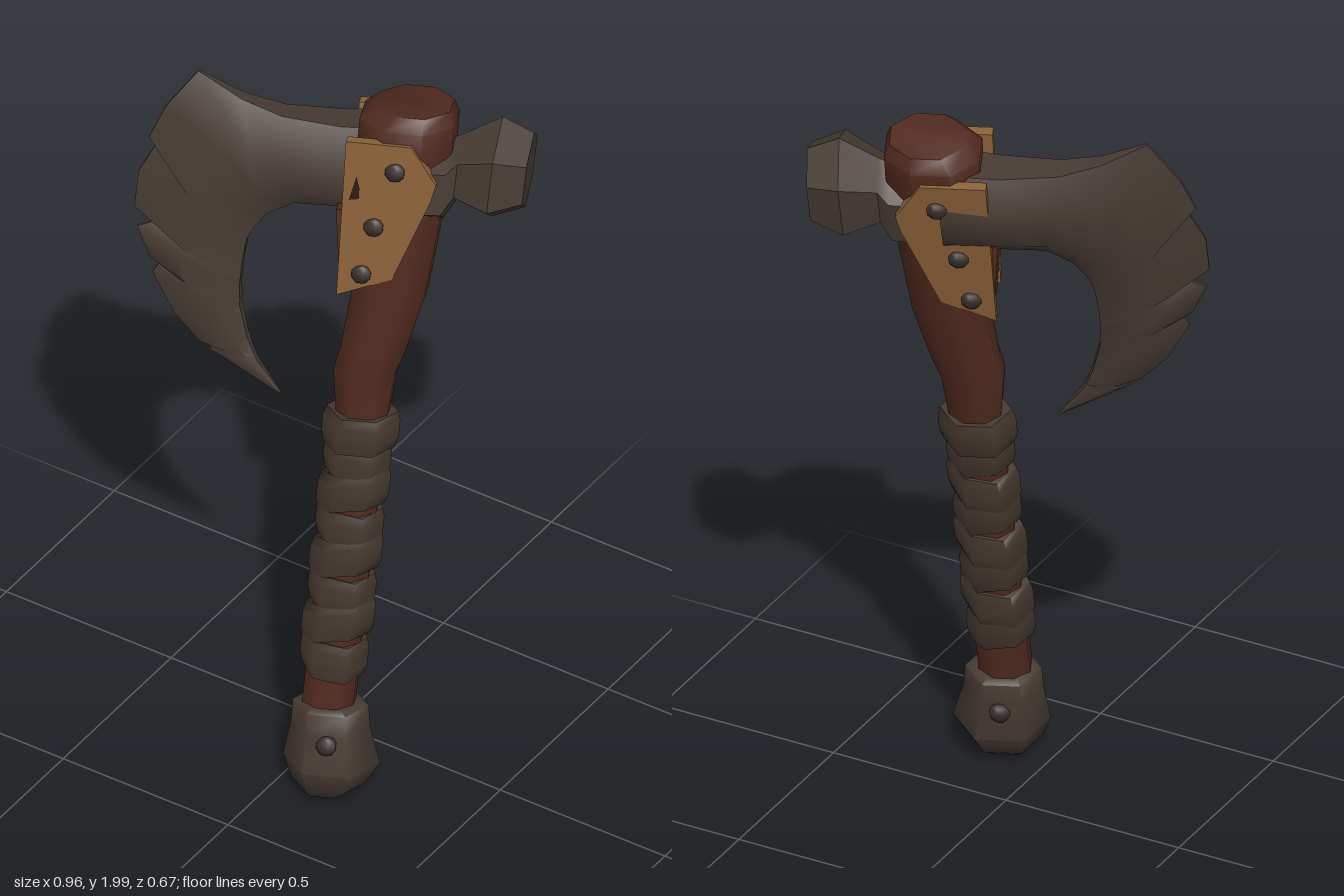
import * as THREE from 'three';
import { toCreasedNormals } from 'three/addons/utils/BufferGeometryUtils.js';

const mat = (name, color) => {
  const m = new THREE.MeshStandardMaterial({ color });
  m.name = name;
  return m;
};

// The axe lies in a tilted plane: x and y run along it, z is its thickness.
const TILT = new THREE.Matrix4().makeBasis(
  new THREE.Vector3(1, 0, -0.45),
  new THREE.Vector3(0, 1, -0.19),
  new THREE.Vector3(0.404, 0.171, 0.898)
).setPosition(0, 0, 0.309);

// Closed skin over a list of equal-sized rings of [x, y, z] points
function loft(rings) {
  const n = rings[0].length, last = (rings.length - 1) * n, index = [];
  for (let i = 0; i < rings.length - 1; i++) {
    for (let j = 0; j < n; j++) {
      const a = i * n + j, b = i * n + (j + 1) % n;
      index.push(a, a + n, b, b, a + n, b + n);
    }
  }
  for (let j = 1; j < n - 1; j++) {
    index.push(0, j, j + 1, last, last + j + 1, last + j);
  }
  const g = new THREE.BufferGeometry();
  g.setAttribute('position', new THREE.Float32BufferAttribute(rings.flat(2), 3));
  g.setIndex(index);
  return g;
}

const circle = (sides, phase, f) =>
  Array.from({ length: sides }, (_, j) => {
    const a = phase + (j / sides) * Math.PI * 2;
    return f(Math.cos(a), Math.sin(a));
  });

// Ring across the handle; lean raises one side for slanted wraps
const handleRing = (cx, y, r, sides, phase = 0, lean = 0) =>
  circle(sides, phase, (c, s) => [cx + c * r, y + (c + s) * lean, s * r * 1.03]);

// Flat plate from an outline, between two depths
const slab = (points, z0, z1) =>
  new THREE.ExtrudeGeometry(
    new THREE.Shape(points.map(([x, y]) => new THREE.Vector2(x, y))),
    { depth: z1 - z0, bevelEnabled: false }
  ).translate(0, 0, z0);

export function createModel() {
  const iron = mat('dark iron', 0x463a33);
  const wood = mat('red brown wood', 0x502a1f);
  const leather = mat('dark leather', 0x44372f);
  const bronze = mat('tan bronze', 0x8c6238);
  const rivetIron = mat('rivet iron', 0x38302c);
  const slot = mat('dark slit', 0x2a1c14);

  const axe = new THREE.Group();
  axe.name = 'battleAxe';
  const add = (name, geometry, material, crease = 0.75) => {
    geometry.applyMatrix4(TILT);
    const mesh = new THREE.Mesh(toCreasedNormals(geometry, crease), material);
    mesh.name = name;
    axe.add(mesh);
  };

  // Wooden handle: centre x, height, radius
  add('handle', loft([
    [0.115, 0.2, 0.065], [0.115, 1.1, 0.066], [0.11, 1.22, 0.078],
    [0.125, 1.29, 0.082], [0.145, 1.45, 0.093], [0.152, 1.65, 0.1],
    [0.145, 1.88, 0.12], [0.143, 1.945, 0.12], [0.152, 1.98, 0.095],
  ].map(([x, y, r]) => handleRing(x, y, r, 8, Math.PI / 8))), wood, 0.9);

  // Pommel
  add('pommel', loft([
    [0.13, 0.012, 0.055], [0.135, 0.04, 0.087], [0.137, 0.1, 0.114],
    [0.125, 0.2, 0.093], [0.12, 0.26, 0.089], [0.118, 0.27, 0.07],
  ].map(([x, y, r]) => handleRing(x, y, r, 6))), iron, 1.1);

  // Slanted grip wraps and the collar above them
  const band = (name, y0, y1, r, lean) => add(name, loft([
    [y0, r * 0.92], [y0 + 0.025, r], [y1 - 0.025, r], [y1, r * 0.92],
  ].map(([y, q]) => handleRing(0.114, y, q, 6, 0, lean))), leather, 1.1);
  for (let i = 0; i < 7; i++) {
    const y = 0.36 + i * 0.093;
    band('gripWrap', y, y + 0.103, i % 2 ? 0.084 : 0.08, i % 2 ? 0.014 : -0.012);
  }
  band('gripCollar', 1.0, 1.1, 0.091, 0);

  // Six-sided socket and hammer at the back: distance along x, height, radius
  add('hammer', loft([
    [0.1, 1.77, 0.125], [0.25, 1.775, 0.115], [0.275, 1.81, 0.095],
    [0.36, 1.82, 0.143], [0.437, 1.82, 0.106],
  ].map(([x, y, r]) =>
    circle(6, Math.PI / 6, (c, s) => [x, y + s * r, c * r]))), iron);

  // Blade: outer x, y, inner x, y, half thickness at the edge and in the body
  const blade = [
    [0.13, 1.92, 0.13, 1.68, 0.06, 0.105],
    [-0.01, 1.905, 0.0, 1.68, 0.05, 0.1],
    [-0.15, 1.91, -0.1, 1.67, 0.035, 0.082],
    [-0.25, 1.94, -0.16, 1.63, 0.02, 0.074],
    [-0.36, 2.0, -0.19, 1.58, 0.004, 0.07],
    [-0.427, 1.89, -0.2, 1.55, 0.004, 0.066],
    [-0.457, 1.80, -0.203, 1.52, 0.004, 0.062],
    [-0.437, 1.785, -0.203, 1.51, 0.004, 0.06],
    [-0.472, 1.70, -0.205, 1.48, 0.004, 0.057],
    [-0.472, 1.60, -0.205, 1.44, 0.004, 0.053],
    [-0.417, 1.565, -0.205, 1.42, 0.004, 0.052],
    [-0.46, 1.545, -0.205, 1.41, 0.004, 0.051],
    [-0.422, 1.46, -0.2, 1.37, 0.004, 0.047],
    [-0.4, 1.445, -0.2, 1.36, 0.004, 0.046],
    [-0.412, 1.42, -0.195, 1.34, 0.004, 0.044],
    [-0.352, 1.31, -0.175, 1.27, 0.004, 0.036],
    [-0.282, 1.235, -0.155, 1.22, 0.004, 0.027],
    [-0.262, 1.24, -0.152, 1.215, 0.004, 0.026],
    [-0.257, 1.215, -0.145, 1.2, 0.004, 0.025],
    [-0.087, 1.11, -0.082, 1.114, 0.002, 0.003],
  ];
  add('blade', loft(blade.map(([ox, oy, ix, iy, e, t]) => {
    const at = (k, z) => [ox + (ix - ox) * k, oy + (iy - oy) * k, z];
    const half = [[0, e], [0.4, t], [0.8, t * 0.95], [1, Math.max(e, t * 0.45)]];
    return [
      ...half.map(([k, z]) => at(k, z)),
      ...half.reverse().map(([k, z]) => at(k, -z)),
    ];
  })).translate(0, 0, -0.02), iron);

  // Wooden block between the cheek plates
  add('headBlock', slab([[0.006, 1.7], [0.19, 1.7], [0.145, 1.53], [0.036, 1.468]], -0.084, 0.084), wood);

  // Cheek plates, slits and rivets on both faces, closer together lower down
  const plate = [[0.014, 1.915], [0.168, 1.915], [0.234, 1.81], [0.226, 1.76], [0.155, 1.52], [0.03, 1.46]];
  const slit = [[0.035, 1.745], [0.058, 1.75], [0.057, 1.78], [0.047, 1.815]];
  for (const side of [1, -1]) {
    const lean = new THREE.Matrix4().set(
      1, 0, 0, 0,
      0, 1, 0, 0,
      0, side * 0.08, 1, side * -0.152,
      0, 0, 0, 1
    );
    const cheek = (points, z0, z1) =>
      slab(points, side > 0 ? z0 : -z1, side > 0 ? z1 : -z0).applyMatrix4(lean);
    add('cheekPlate', cheek(plate, 0.094, 0.124), bronze);
    add('plateSlit', cheek(slit, 0.122, 0.126), slot);
    const rivet = (x, y, z) => new THREE.SphereGeometry(0.027, 7, 5)
      .scale(0.95, 1, 0.75).translate(x, y, side * z);
    for (const [x, y] of [[0.136, 1.837], [0.1, 1.67], [0.083, 1.528]]) {
      add('plateRivet', rivet(x, y, 0.123).applyMatrix4(lean), rivetIron, 1);
    }
    add('pommelRivet', rivet(0.13, 0.18, 0.09), rivetIron, 1);
  }

  return axe;
}
